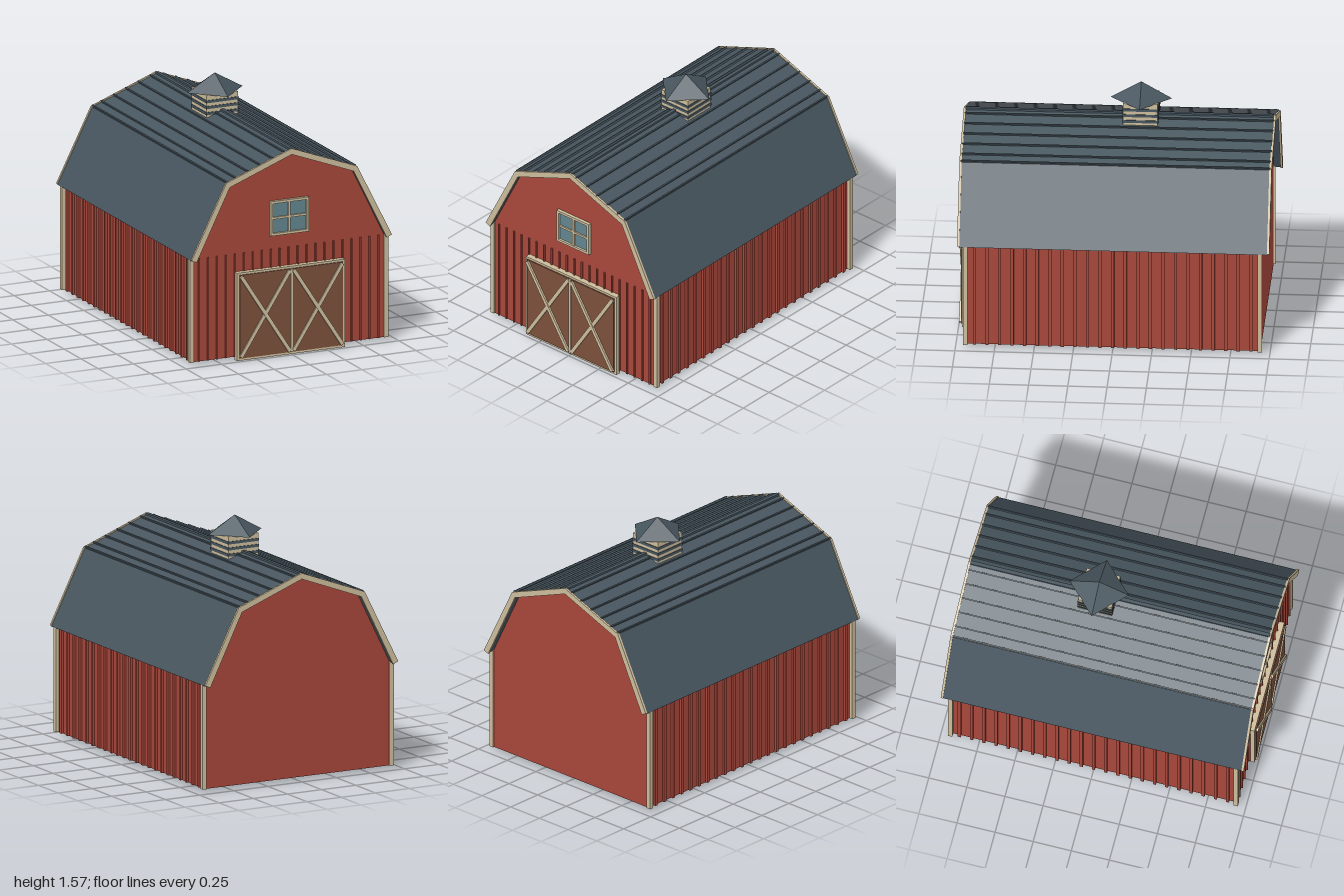
import * as THREE from 'three';

export function createModel() {
  const model = new THREE.Group();
  const mat = (name, color) => {
    const m = new THREE.MeshStandardMaterial({ color });
    m.name = name;
    return m;
  };
  const red = mat('barn red', 0xa8473b);
  const slate = mat('slate blue', 0x48565f);
  const cream = mat('cream trim', 0xcdbd9c);
  const brown = mat('door brown', 0x7c503c);
  const glass = mat('window glass', 0x63858e);

  const group = (name, parent = model) => {
    const g = new THREE.Group();
    g.name = name;
    parent.add(g);
    return g;
  };
  const add = (name, geometry, material, parent = model) => {
    const mesh = new THREE.Mesh(geometry, material);
    mesh.name = name;
    parent.add(mesh);
    return mesh;
  };
  // Box given by its lower and upper limits
  const box = (name, x0, x1, y0, y1, z0, z1, material, parent) => {
    const mesh = add(name, new THREE.BoxGeometry(x1 - x0, y1 - y0, z1 - z0), material, parent);
    mesh.position.set((x0 + x1) / 2, (y0 + y1) / 2, (z0 + z1) / 2);
    return mesh;
  };
  // Right half of a gambrel line, mirrored to run from eave to eave
  const gambrel = half => [...half, ...half.slice(0, -1).reverse().map(([x, y]) => [-x, y])];
  const extrude = (name, points, z0, z1, material, parent) => {
    const shape = new THREE.Shape(points.map(([x, y]) => new THREE.Vector2(x, y)));
    const geo = new THREE.ExtrudeGeometry(shape, { depth: z1 - z0, bevelEnabled: false });
    geo.translate(0, 0, z0);
    return add(name, geo, material, parent);
  };
  const band = (outer, inner) => [...gambrel(outer), ...gambrel(inner).reverse()];

  // Walls with gable ends
  extrude('walls', [[-0.675, 0.02], [0.675, 0.02],
    ...gambrel([[0.675, 0.695], [0.442, 1.162], [0, 1.328]])], -0.94, 0.94, red);

  // Battens on the front and both long sides
  const battens = group('battens');
  for (let k = -10; k <= 10; k++) {
    const x = k * 0.0633;
    box('frontBatten', x - 0.005, x + 0.005, 0.02, 0.7, 0.935, 0.95, red, battens);
  }
  for (const s of [-1, 1]) {
    for (let k = 0; k < 23; k++) {
      const b = box('sideBatten', -0.01, 0.01, 0.02, 0.7, -0.01, 0.01, red, battens);
      b.position.set(s * 0.68, 0.36, -0.88 + k * 0.08);
    }
    // Corner boards
    for (const z of [-0.937, 0.937]) {
      box('cornerBoard', s * 0.685 - 0.015, s * 0.685 + 0.015, 0.02, 0.7, z - 0.014, z + 0.014, cream);
    }
  }

  // Roof shell and gable fascias
  const roof = group('roof');
  extrude('roofPanels', band([[0.702, 0.7], [0.457, 1.183], [0, 1.353]],
    [[0.675, 0.695], [0.442, 1.162], [0, 1.328]]), -0.985, 0.98, slate, roof);
  for (const z of [-0.998, 0.975]) {
    extrude('fascia', band([[0.706, 0.706], [0.461, 1.188], [0, 1.361]],
      [[0.67, 0.69], [0.437, 1.157], [0, 1.322]]), z, z + 0.015, cream, roof);
  }

  // Raised seams on the upper slopes, with knee and ridge caps
  const slope = Math.atan2(0.17, 0.457);
  for (const s of [-1, 1]) {
    for (const x of [0.045, 0.13, 0.217, 0.304, 0.39, 0.45]) {
      const seam = add('roofSeam', new THREE.BoxGeometry(0.009, 0.02, 1.97), slate, roof);
      seam.position.set(s * x, 1.355 - x * 0.372, -0.004);
      seam.rotation.z = -s * slope;
    }
  }
  box('ridgeCap', -0.012, 0.012, 1.34, 1.361, -0.985, 0.98, slate, roof);

  // Barn doors: surround, two panels, crossed braces
  const doors = group('barnDoors');
  box('doorHeader', -0.38, 0.38, 0.562, 0.58, 0.94, 0.977, cream, doors);
  box('doorSill', -0.38, 0.38, 0, 0.018, 0.94, 0.977, cream, doors);
  for (const s of [-1, 1]) {
    box('doorJamb', s * 0.371 - 0.009, s * 0.371 + 0.009, 0, 0.58, 0.94, 0.977, cream, doors);
    box('doorPanel', s * 0.183 - 0.181, s * 0.183 + 0.181, 0.016, 0.566, 0.94, 0.985, brown, doors);
    for (const t of [-1, 1]) {
      const brace = add('doorBrace', new THREE.BoxGeometry(0.024, 0.635, 0.013), cream, doors);
      brace.position.set(s * 0.185, 0.291, 0.989 + t * 0.002);
      brace.rotation.z = t * Math.atan2(0.345, 0.535);
    }
  }
  box('doorCentreStrip', -0.007, 0.007, 0.016, 0.566, 0.98, 0.992, cream, doors);

  // Loft window
  const win = group('loftWindow');
  box('windowPane', -0.125, 0.125, 0.8, 1.01, 0.938, 0.947, glass, win);
  for (const s of [-1, 1]) {
    box('windowSide', s * 0.127 - 0.008, s * 0.127 + 0.008, 0.79, 1.018, 0.94, 0.962, cream, win);
    const y = 0.904 + s * 0.106;
    box('windowRail', -0.135, 0.135, y - 0.008, y + 0.008, 0.94, 0.962, cream, win);
  }
  box('verticalMuntin', -0.007, 0.007, 0.8, 1.01, 0.94, 0.957, cream, win);
  box('horizontalMuntin', -0.125, 0.125, 0.897, 0.911, 0.94, 0.957, cream, win);

  // Cupola with louvres and a pointed four-sided roof
  const cupola = group('cupola');
  cupola.position.z = -0.14;
  box('cupolaBody', -0.11, 0.11, 1.315, 1.463, -0.11, 0.11, cream, cupola);
  for (const y of [1.341, 1.381, 1.42]) {
    box('louvre', -0.114, 0.114, y - 0.009, y + 0.009, -0.114, 0.114, slate, cupola);
  }
  const cap = add('cupolaRoof', new THREE.ConeGeometry(0.195, 0.112, 4).toNonIndexed(), slate, cupola);
  cap.geometry.computeVertexNormals();
  cap.position.y = 1.516;

  return model;
}
